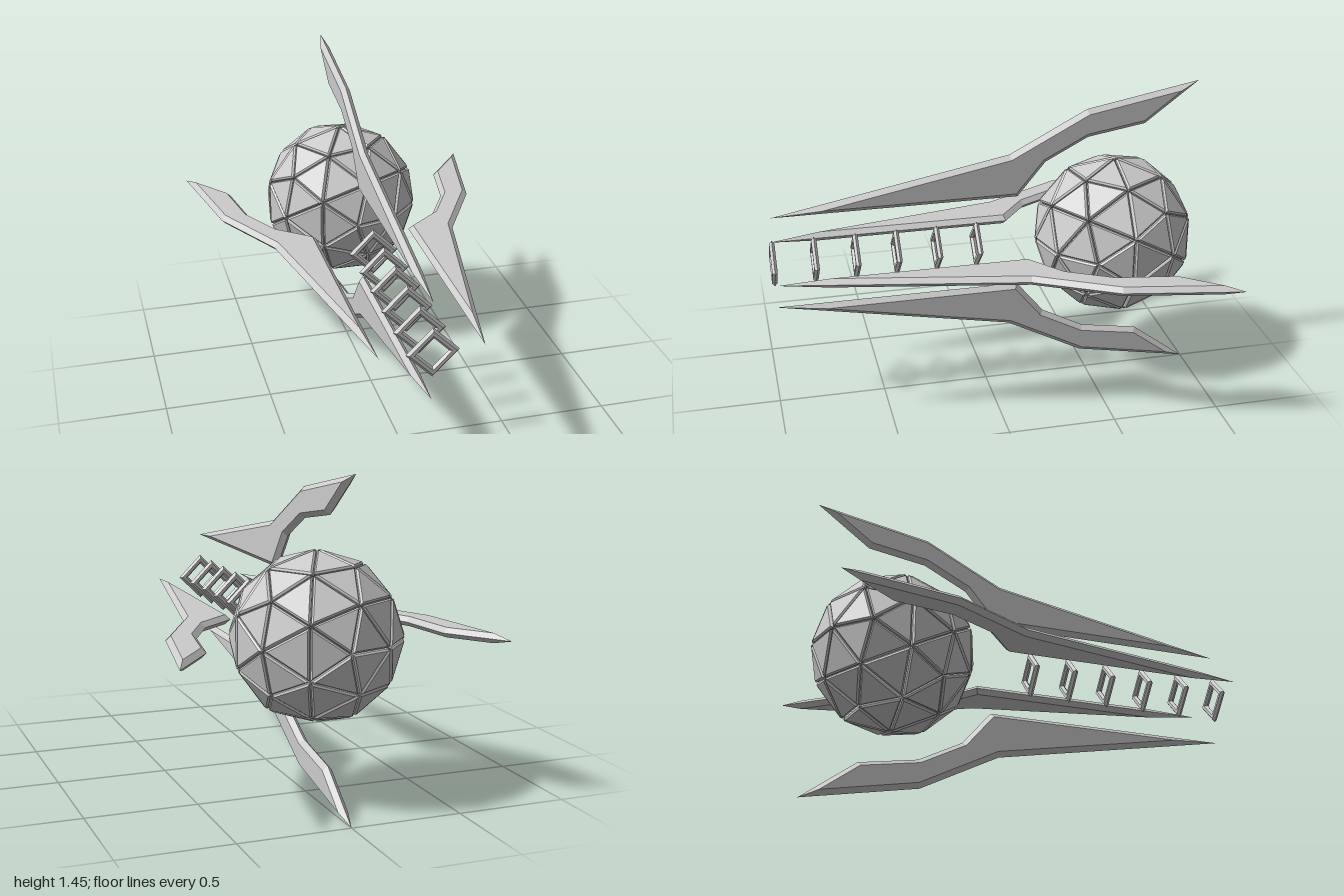
import * as THREE from 'three';
import { mergeGeometries } from 'three/addons/utils/BufferGeometryUtils.js';

const grey = new THREE.MeshStandardMaterial({ color: 0xcccccc, flatShading: true });
const red = new THREE.MeshStandardMaterial({ color: 0xcc0000, flatShading: true });

// Solid through matching loops of Vector3, counter-clockwise seen from the last loop
function loft(loops, capFaces) {
  const pos = [];
  const tri = (...pts) => pts.forEach(p => pos.push(p.x, p.y, p.z));
  for (let k = 0; k < loops.length - 1; k++) {
    const lo = loops[k], hi = loops[k + 1], n = lo.length;
    for (let i = 0; i < n; i++) {
      const j = (i + 1) % n;
      tri(lo[i], lo[j], hi[j]);
      tri(lo[i], hi[j], hi[i]);
    }
  }
  const first = loops[0], last = loops[loops.length - 1];
  for (const [a, b, c] of capFaces) {
    tri(last[a], last[b], last[c]);
    tri(first[a], first[c], first[b]);
  }
  const geo = new THREE.BufferGeometry();
  geo.setAttribute('position', new THREE.Float32BufferAttribute(pos, 3));
  geo.computeVertexNormals();
  return geo;
}

// Move every side of a counter-clockwise outline inwards by d
function inset(pts, d) {
  const n = pts.length;
  return pts.map((p, i) => {
    const a = p.clone().sub(pts[(i + n - 1) % n]).normalize();
    const b = pts[(i + 1) % n].clone().sub(p).normalize();
    const na = new THREE.Vector2(-a.y, a.x), nb = new THREE.Vector2(-b.y, b.x);
    const miter = na.clone().add(nb);
    return p.clone().addScaledVector(miter, d / (1 + na.dot(nb)));
  });
}

// Flat blade with knife-edged rim; outline is (-z, distance from the axis)
function bladeGeometry() {
  const outline = [
    [-0.985, 0.225], [0.15, 0.225], [0.28, 0.385], [0.48, 0.49],
    [0.75, 0.535], [1, 0.725], [0.47, 0.625], [0.11, 0.435],
  ].map(p => new THREE.Vector2(...p));
  const flat = inset(outline, 0.022);
  const at = (pts, z) => pts.map(p => new THREE.Vector3(p.x, p.y, z));
  const faces = THREE.ShapeUtils.triangulateShape(flat, []);
  return loft([at(flat, -0.022), at(outline, 0), at(flat, 0.022)], faces).rotateY(Math.PI / 2);
}

// Geodesic ball with a five-sided vertex pointing to the front
function geodesic(radius) {
  const tilt = Math.atan(2 / (1 + Math.sqrt(5)));
  return new THREE.IcosahedronGeometry(radius, 1).rotateX(tilt).rotateZ(Math.PI / 2);
}

// One bevelled armour panel per geodesic face, with narrow gaps between
function panelsGeometry(radius) {
  const p = geodesic(radius).getAttribute('position');
  const panels = [];
  for (let f = 0; f < p.count; f += 3) {
    const tri = [0, 1, 2].map(k => new THREE.Vector3().fromBufferAttribute(p, f + k));
    const mid = tri[0].clone().add(tri[1]).add(tri[2]).divideScalar(3);
    const out = mid.clone().normalize();
    const loop = (scale, lift) =>
      tri.map(v => mid.clone().lerp(v, scale).addScaledVector(out, lift));
    panels.push(loft([loop(0.93, -0.04), loop(0.94, -0.006), loop(0.84, 0.002)], [[0, 1, 2]]));
  }
  return mergeGeometries(panels);
}

// Diamond-shaped frame with sharpened inner and outer rims
function frameGeometry() {
  const section = [
    [0.068, 0], [0.08, -0.012], [0.1, -0.012], [0.115, 0],
    [0.1, 0.012], [0.08, 0.012], [0.068, 0],
  ].map(p => new THREE.Vector2(...p));
  return new THREE.LatheGeometry(section, 4).rotateX(Math.PI / 2);
}

export function createModel() {
  const model = new THREE.Group();
  model.name = 'bladedOrbCraft';
  const body = new THREE.Group();
  body.name = 'body';
  body.position.y = 0.725;
  model.add(body);

  const add = (name, geo, mat, parent = body) => {
    const mesh = new THREE.Mesh(geo, mat);
    mesh.name = name;
    parent.add(mesh);
    return mesh;
  };

  // Panelled ball around a glowing core
  const orb = new THREE.Group();
  orb.name = 'orb';
  orb.position.z = -0.612;
  body.add(orb);
  add('orbPanels', panelsGeometry(0.377), grey, orb);
  add('orbCore', geodesic(0.342), red, orb);

  // Four blades around the long axis
  const blade = bladeGeometry();
  ['topBlade', 'rightBlade', 'bottomBlade', 'leftBlade'].forEach((name, i) => {
    add(name, blade, grey).rotation.z = i * Math.PI / 2;
  });

  // Row of frames ahead of the ball
  const frame = frameGeometry();
  for (let i = 0; i < 6; i++) {
    add('frame' + (i + 1), frame, grey).position.z = 0.985 - i * 0.188;
  }
  return model;
}
